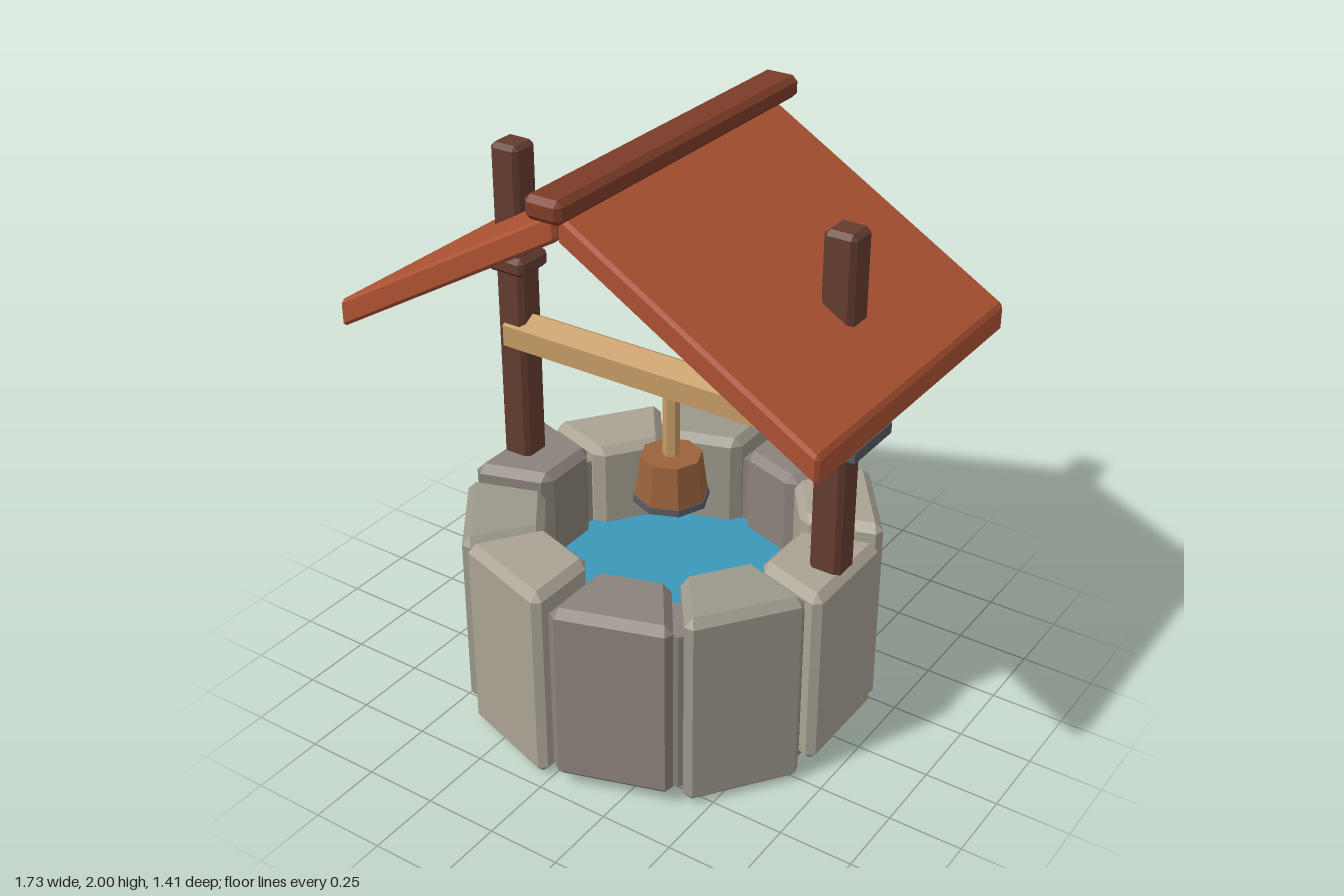
import * as THREE from 'three';
import { ConvexGeometry } from 'three/addons/geometries/ConvexGeometry.js';

const mat = (name, color) => {
  const m = new THREE.MeshStandardMaterial({ color });
  m.name = name;
  return m;
};

// Prism over a convex polygon of [x, z] corners, with every edge chamfered by b
function chamferPrism(poly, y0, y1, b) {
  const pts = [];
  poly.forEach(([x, z], i) => {
    const p = new THREE.Vector2(x, z);
    const toward = (k) =>
      new THREE.Vector2(...poly[(i + k) % poly.length]).sub(p).normalize().multiplyScalar(b);
    const e1 = toward(1);
    const e2 = toward(poly.length - 1);
    for (const q of [p.clone().add(e1), p.clone().add(e2)]) {
      pts.push(new THREE.Vector3(q.x, y0 + b, q.y), new THREE.Vector3(q.x, y1 - b, q.y));
    }
    const c = p.clone().add(e1).add(e2);
    pts.push(new THREE.Vector3(c.x, y0, c.y), new THREE.Vector3(c.x, y1, c.y));
  });
  return new ConvexGeometry(pts);
}

const chamferBox = (w, d, y0, y1, b) =>
  chamferPrism([[-w / 2, -d / 2], [w / 2, -d / 2], [w / 2, d / 2], [-w / 2, d / 2]], y0, y1, b);

// Facet a geometry so that every side is flat
function faceted(geometry) {
  const g = geometry.toNonIndexed();
  g.computeVertexNormals();
  return g;
}

export function createModel() {
  const model = new THREE.Group();
  model.name = 'well';

  const stones = [
    mat('warm stone', 0xaaa394),
    mat('green grey stone', 0x9b988a),
    mat('brown grey stone', 0x8b827a),
  ];
  const darkWood = mat('dark wood', 0x643c30);
  const roofRed = mat('roof red', 0xac5233);
  const ridgeRed = mat('ridge red', 0x7e3c28);
  const paleWood = mat('pale wood', 0xc59b66);
  const bucketWood = mat('bucket wood', 0x9a623a);
  const metal = mat('metal', 0x565960);
  const water = mat('water', 0x3a97b8);

  const add = (name, geometry, material, x = 0, y = 0, z = 0) => {
    const mesh = new THREE.Mesh(geometry, material);
    mesh.name = name;
    mesh.position.set(x, y, z);
    model.add(mesh);
    return mesh;
  };

  // Ring of ten wedge stones, alternately short and tall
  const inner = 0.42, outer = 0.685;
  for (let i = 0; i < 10; i++) {
    const tall = i % 2 === 1;
    const wedge = [[inner, -0.122], [outer, -0.205], [outer, 0.205], [inner, 0.122]];
    const geometry = chamferPrism(wedge, tall ? 0 : 0.03, tall ? 0.705 : 0.68, 0.028);
    add('wallStone', geometry, stones[i % 3]).rotation.y = -i * Math.PI / 5;
  }

  // Floor and core that close the joints between the stones
  const core = [[0, 0.035], [0.66, 0.035], [0.66, 0.62], [0.48, 0.62], [0.48, 0.3]]
    .map(([r, y]) => new THREE.Vector2(r, y));
  add('wallCore', faceted(new THREE.LatheGeometry(core, 10)), stones[2]);
  add('water', new THREE.CircleGeometry(0.47, 20).rotateX(-Math.PI / 2), water, 0, 0.38, 0);

  for (const side of [-1, 1]) {
    // Posts with collars under the roof
    add('post', chamferBox(0.11, 0.11, 0.66, 1.835, 0.016), darkWood, side * 0.612);
    add('postCollar', chamferBox(0.15, 0.15, 1.39, 1.455, 0.016), darkWood, side * 0.612);

    // Roof slab with upright ends, extruded from front to back
    const slab = [[0.003, -1.845], [0.866, -1.337], [0.866, -1.43], [0.003, -1.935]]
      .map(([x, y]) => [side * x, y]);
    const geometry = chamferPrism(slab, -0.577, 0.577, 0.012).rotateX(Math.PI / 2);
    add('roofSlab', geometry, roofRed);
  }
  add('roofRidge', chamferBox(0.13, 1.285, 1.925, 2, 0.018), ridgeRed);

  // Six-sided winding beam with its crank
  const beam = faceted(new THREE.CylinderGeometry(0.075, 0.075, 1.27, 6));
  beam.rotateZ(Math.PI / 2);
  beam.rotateX(Math.PI / 2);
  add('windingBeam', beam, paleWood, 0, 1.16, 0);
  add('crank', new THREE.BoxGeometry(0.1, 0.036, 0.23), metal, 0.685, 1.16, 0);

  // Rope and bucket
  add('rope', faceted(new THREE.CylinderGeometry(0.028, 0.028, 0.24, 6)), paleWood, 0, 0.99, 0);
  add('bucket', faceted(new THREE.CylinderGeometry(0.104, 0.126, 0.165, 8)), bucketWood, 0, 0.7975, 0);
  add('bucketBand', faceted(new THREE.CylinderGeometry(0.127, 0.13, 0.022, 8)), metal, 0, 0.724, 0);

  return model;
}
